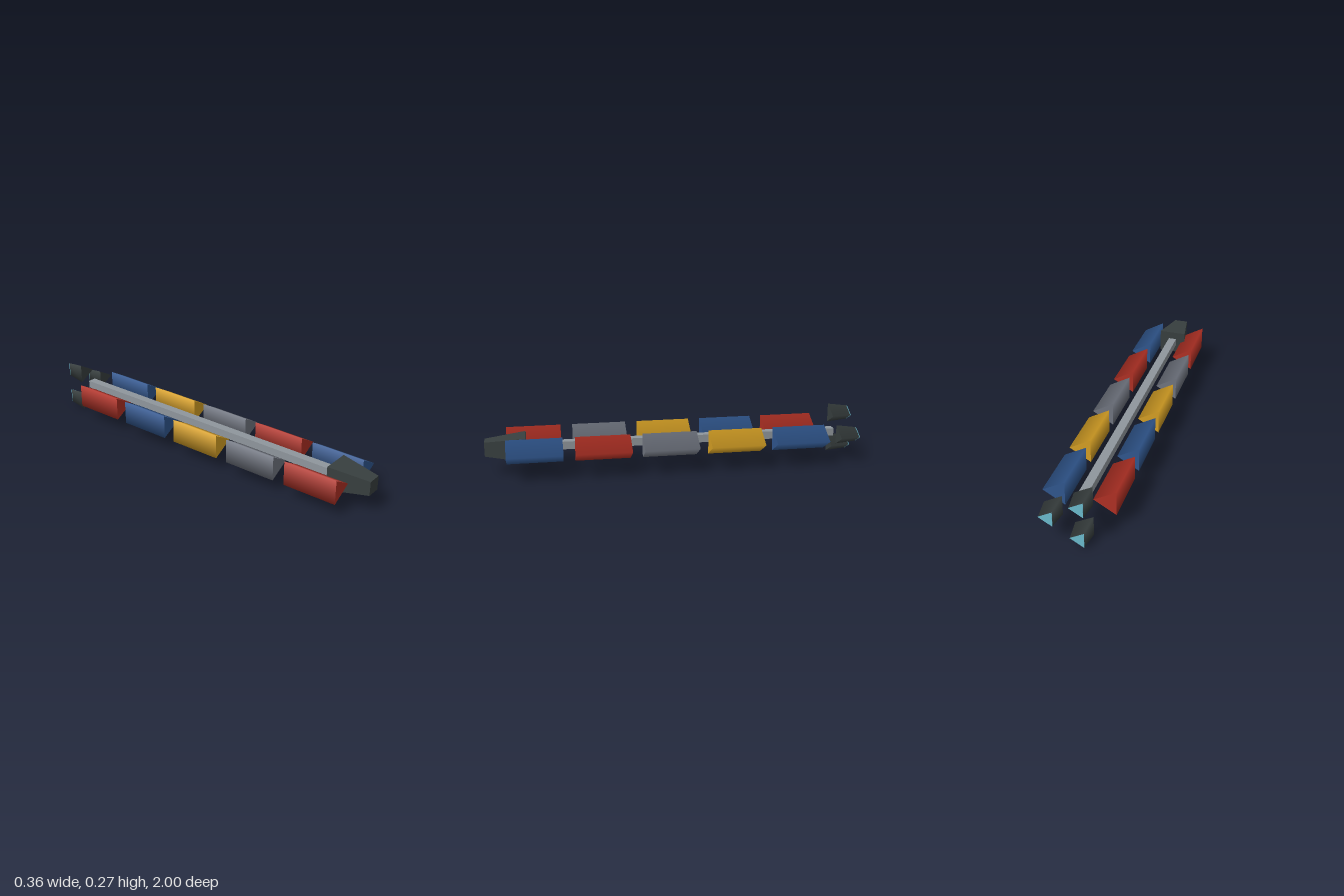
import * as THREE from 'three';

const mat = (name, color) => {
  const m = new THREE.MeshStandardMaterial({ color });
  m.name = name;
  return m;
};

export function createModel() {
  const red = mat('red', 0xb03024);
  const blue = mat('blue', 0x30578f);
  const yellow = mat('yellow', 0xd6a024);
  const grey = mat('grey', 0x707580);
  const steel = mat('steel', 0x8f969c);
  const dark = mat('charcoal', 0x383f3f);
  const glow = mat('cyan', 0x6cbccf);

  const model = new THREE.Group();
  model.name = 'cargoShip';
  const AX = -0.02, AY = 0.139; // long axis of the ship

  const add = (name, geometry, material, x, y, z, parent = model) => {
    const mesh = new THREE.Mesh(geometry, material);
    mesh.name = name;
    mesh.position.set(x, y, z);
    parent.add(mesh);
    return mesh;
  };

  // Three-sided prism along z with one edge towards +x
  const prism = (frontR, rearR, length) =>
    new THREE.CylinderGeometry(frontR, rearR, length, 3, 1, false, Math.PI / 2).rotateX(Math.PI / 2);

  // Spine
  add('spine', new THREE.BoxGeometry(0.045, 0.042, 1.69), steel, AX, 0.14, -0.047);

  // Cockpit: a box whose front face is shrunk and raised slightly
  const cockpit = new THREE.BoxGeometry(0.15, 0.127, 0.213);
  const p = cockpit.attributes.position;
  for (let i = 0; i < p.count; i++) {
    if (p.getZ(i) > 0) {
      p.setX(i, Math.sign(p.getX(i)) * 0.0375);
      p.setY(i, Math.sign(p.getY(i)) * 0.0375 + 0.005);
    }
  }
  cockpit.computeVertexNormals();
  add('cockpit', cockpit, dark, AX, AY, 0.8935);

  // Cargo pods, two rows listed front to back
  const podGeometry = prism(0.0745, 0.0745, 0.289);
  const rows = [
    ['leftPod', 0.1055, [blue, red, grey, yellow, blue]],
    ['rightPod', -0.1445, [red, grey, yellow, blue, red]],
  ];
  for (const [name, x, colours] of rows) {
    colours.forEach((colour, i) => add(name + (i + 1), podGeometry, colour, x, AY, 0.746 - i * 0.353));
  }

  // Three tapered thrusters around the axis, each with a glowing rear plate
  const thrusterGeometry = prism(0.06, 0.045, 0.106);
  const plateGeometry = prism(0.045, 0.045, 0.004);
  for (let i = 0; i < 3; i++) {
    const a = (i * Math.PI * 2) / 3;
    const thruster = new THREE.Group();
    thruster.name = 'thruster' + (i + 1);
    thruster.position.set(AX + Math.cos(a) * 0.0985, AY + Math.sin(a) * 0.0985, 0);
    add('thrusterBody', thrusterGeometry, dark, 0, 0, -0.943, thruster);
    add('thrusterGlow', plateGeometry, glow, 0, 0, -0.998, thruster);
    model.add(thruster);
  }

  return model;
}
